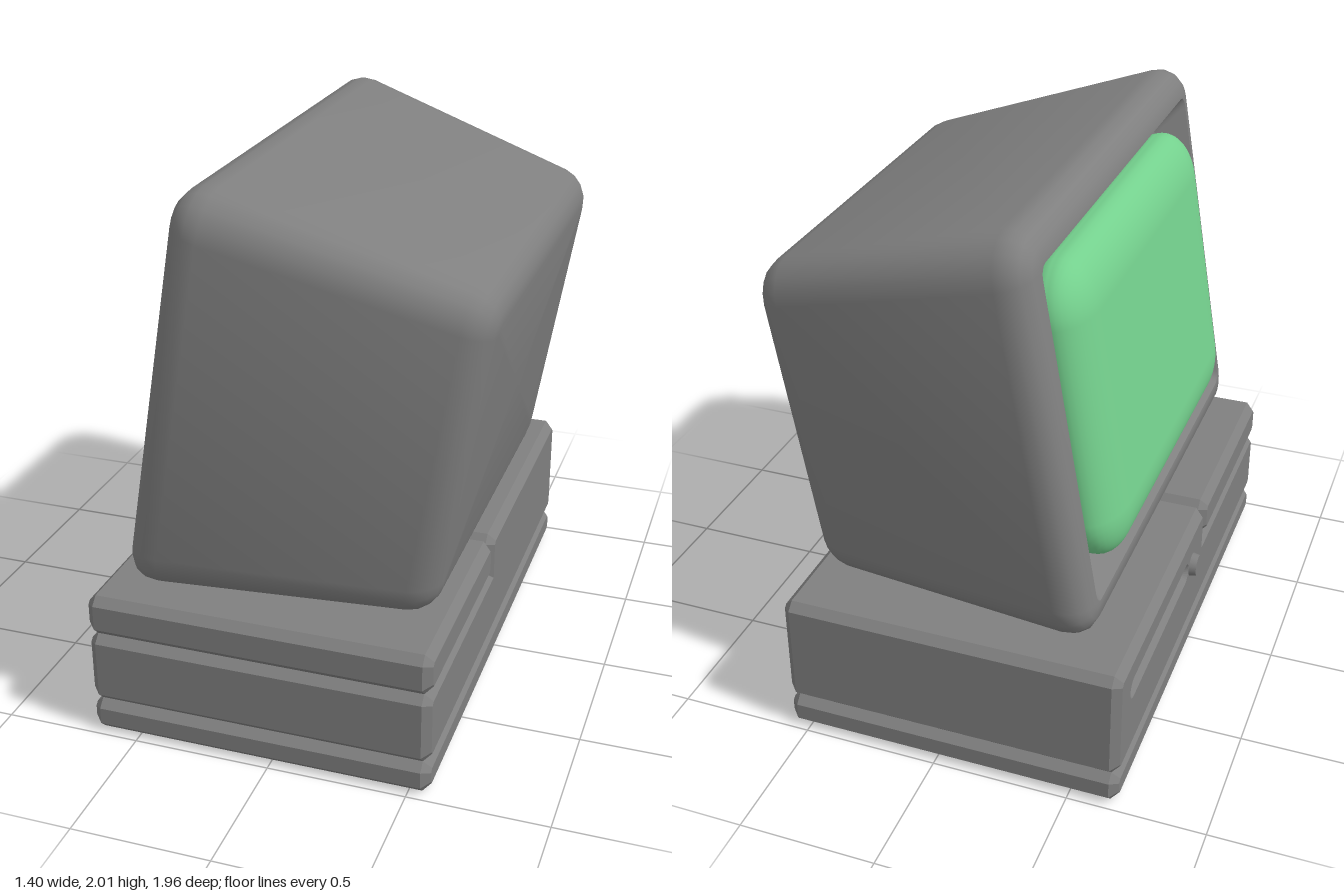
import * as THREE from 'three';
import { toCreasedNormals } from 'three/addons/utils/BufferGeometryUtils.js';
import { RoundedBoxGeometry } from 'three/addons/geometries/RoundedBoxGeometry.js';

const grey = new THREE.MeshStandardMaterial({ color: 0x7f7f7f });
grey.name = 'casing grey';
const green = new THREE.MeshStandardMaterial({ color: 0x74d08d });
green.name = 'screen green';

const CHAMFER = 0.03;

function addMesh(parent, name, geometry, material) {
  const mesh = new THREE.Mesh(geometry, material);
  mesh.name = name;
  parent.add(mesh);
  return mesh;
}

// Box with chamfered edges, extruded along x; an optional hole is cut through it
function chamferBox(x0, x1, y0, y1, z0, z1, hole) {
  const c = CHAMFER, k = c * 0.414;
  const l = -z1 + c, r = -z0 - c, b = y0 + c, t = y1 - c;
  const shape = new THREE.Shape([
    [l + k, b], [r - k, b], [r, b + k], [r, t - k],
    [r - k, t], [l + k, t], [l, t - k], [l, b + k],
  ].map(([x, y]) => new THREE.Vector2(x, y)));
  if (hole) shape.holes.push(hole);
  const geo = new THREE.ExtrudeGeometry(shape, {
    depth: x1 - x0 - 2 * c, bevelEnabled: true, bevelSegments: 1,
    bevelSize: c, bevelThickness: c, curveSegments: 6,
  });
  return geo.translate(0, 0, x0 + c).rotateY(Math.PI / 2);
}

// Rounded rectangle section at x: half height, half depth, corner radius
function section({ x, hy, hz, r }, steps = 4) {
  const pts = [];
  const corners = [[1, 1], [-1, 1], [-1, -1], [1, -1]];
  corners.forEach(([sz, sy], q) => {
    for (let i = 0; i <= steps; i++) {
      const a = (q + i / steps) * Math.PI / 2;
      pts.push([x, sy * (hy - r) + r * Math.sin(a), sz * (hz - r) + r * Math.cos(a)]);
    }
  });
  return pts;
}

function loft(rings) {
  const loops = rings.map((ring) => section(ring));
  const n = loops[0].length, index = [];
  for (let i = 0; i < loops.length - 1; i++) {
    for (let j = 0; j < n; j++) {
      const a = i * n + j, b = i * n + (j + 1) % n;
      index.push(a, a + n, b, b, a + n, b + n);
    }
  }
  const geo = new THREE.BufferGeometry();
  geo.setAttribute('position', new THREE.Float32BufferAttribute(loops.flat(2), 3));
  geo.setIndex(index);
  return toCreasedNormals(geo.toNonIndexed(), 0.7);
}

// Tapered rounded housing with a bevelled cavity in its -x face
function housingGeometry() {
  const front = -0.648, back = 0.415, slope = 0.15, steps = 4;
  const rings = [
    { x: -0.54, hy: 0, hz: 0, r: 0 },
    { x: -0.54, hy: 0.53, hz: 0.73, r: 0.04 },
    { x: front, hy: 0.615, hz: 0.815, r: 0.04 },
  ];
  const roundRing = (x, R, t) => {
    const inset = slope * (x - front) + R * (1 - Math.sin(t));
    rings.push({ x, hy: 0.747 - inset, hz: 0.945 - inset, r: 0.03 + R * Math.sin(t) });
  };
  for (let i = 0; i <= steps; i++) {
    const t = i / steps * Math.PI / 2;
    roundRing(front + 0.12 * (1 - Math.cos(t)), 0.12, t);
  }
  for (let i = steps; i >= 0; i--) {
    const t = i / steps * Math.PI / 2;
    roundRing(back - 0.1 * (1 - Math.cos(t)), 0.1, t);
  }
  rings.push({ x: back, hy: 0, hz: 0, r: 0 });
  return loft(rings);
}

export function createModel() {
  const model = new THREE.Group();
  model.name = 'desktopTerminal';

  // Base: chamfered blocks whose meeting edges form the V grooves
  const base = new THREE.Group();
  base.name = 'base';
  model.add(base);
  const X0 = -0.675, X1 = 0.575, Z = 0.98;
  addMesh(base, 'bottomSlab', chamferBox(X0, X1, 0, 0.122, -Z, Z), grey);
  addMesh(base, 'lowerBlock', chamferBox(X0, X1, 0.122, 0.392, 0, Z), grey);
  addMesh(base, 'upperBlock', chamferBox(X0, X1, 0.392, 0.545, 0.13, Z), grey);
  addMesh(base, 'tallBlock', chamferBox(-0.61, X1, 0.122, 0.545, -Z, 0.13), grey);

  // Facing of the tall block with the long bevelled slot
  const slot = new THREE.Path();
  slot.absarc(0.14, 0.4, 0.042, Math.PI / 2, Math.PI * 1.5, false);
  slot.absarc(0.81, 0.4, 0.042, -Math.PI / 2, Math.PI / 2, false);
  addMesh(base, 'slottedFacing', chamferBox(X0, -0.5, 0.122, 0.545, -Z, 0.13, slot), grey);

  // Round button beside the slot
  const button = addMesh(base, 'button', new THREE.CylinderGeometry(0.04, 0.05, 0.05, 16), grey);
  button.rotation.z = Math.PI / 2;
  button.position.set(-0.676, 0.39, -0.05);

  // Monitor, tilted back on the base
  const monitor = new THREE.Group();
  monitor.name = 'monitor';
  const tilt = THREE.MathUtils.degToRad(9.7), height = 1.218;
  monitor.position.set(height * Math.sin(tilt), height * Math.cos(tilt), 0.012);
  monitor.rotation.z = -tilt;
  model.add(monitor);
  addMesh(monitor, 'housing', housingGeometry(), grey);

  // Bulging screen
  const screenGeo = new RoundedBoxGeometry(0.4, 1.1, 1.48, 5, 0.19).scale(0.6, 1, 1);
  addMesh(monitor, 'screen', screenGeo, green).position.x = -0.602;

  return model;
}
